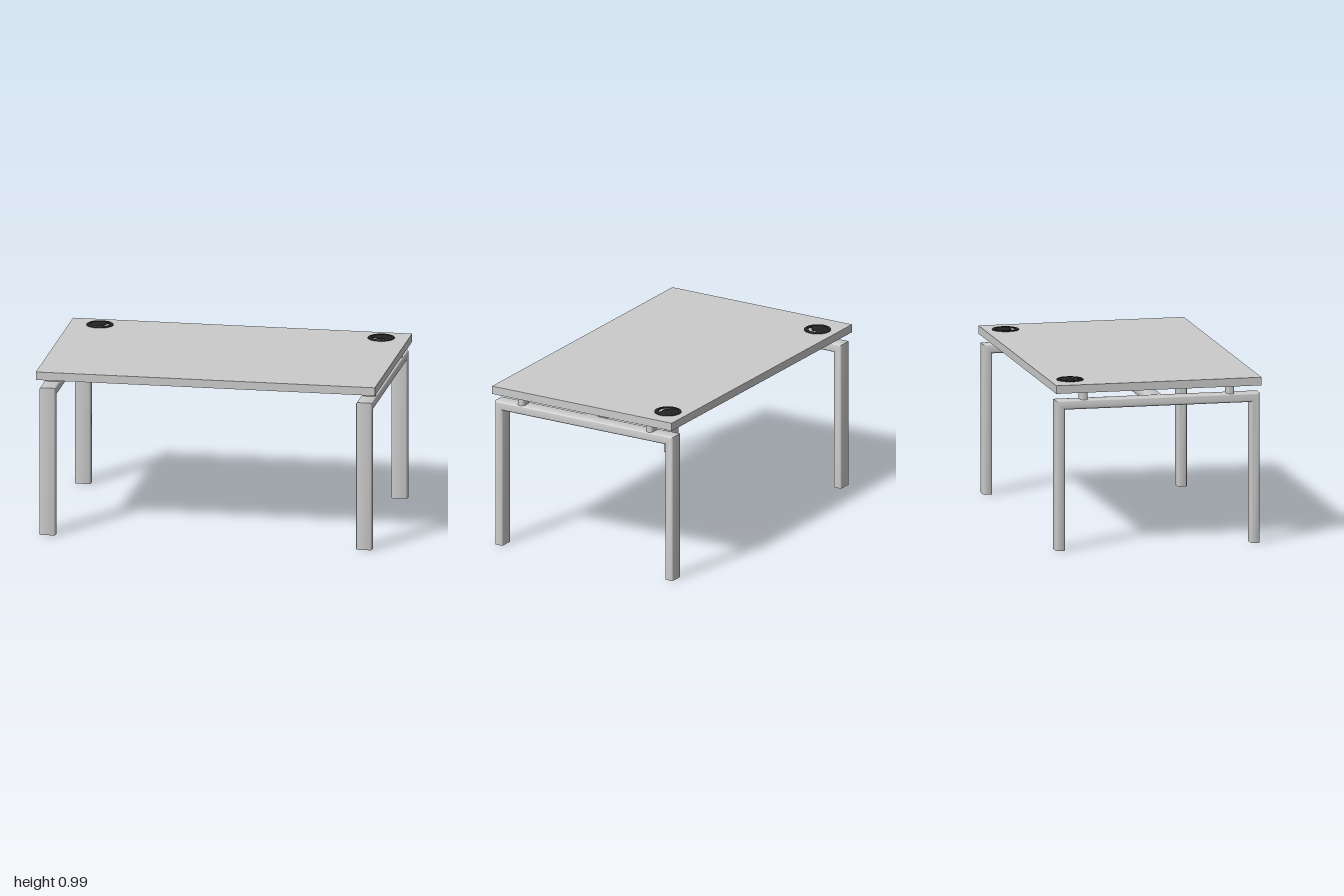
import * as THREE from 'three';
import { toCreasedNormals } from 'three/addons/utils/BufferGeometryUtils.js';

const grey = new THREE.MeshStandardMaterial({ color: 0xcccccc });
const black = new THREE.MeshStandardMaterial({ color: 0x222222 });

function add(parent, name, geometry, material, x = 0, y = 0, z = 0) {
  const mesh = new THREE.Mesh(geometry, material);
  mesh.name = name;
  mesh.position.set(x, y, z);
  parent.add(mesh);
  return mesh;
}

// Rounded rectangle outline, counter-clockwise, as [n, w] pairs
function roundedRect(halfN, halfW, r) {
  const corners = [[1, 1], [-1, 1], [-1, -1], [1, -1]];
  const out = [];
  corners.forEach(([sn, sw], c) => {
    for (let i = 0; i <= 4; i++) {
      const a = (c + i / 4) * Math.PI / 2;
      out.push([sn * (halfN - r) + r * Math.cos(a), sw * (halfW - r) + r * Math.sin(a)]);
    }
  });
  return out;
}

// Sweep a section along a path in the xy plane, with mitred corners
function mitredTube(path, section) {
  const pos = [], idx = [], n = section.length;
  const normals = path.slice(1).map((p, i) => {
    const d = p.clone().sub(path[i]).normalize();
    return new THREE.Vector2(-d.y, d.x);
  });
  path.forEach((p, k) => {
    const a = normals[Math.max(k - 1, 0)];
    const b = normals[Math.min(k, normals.length - 1)];
    const m = a.clone().add(b).divideScalar(1 + a.dot(b));
    for (const [sn, sw] of section) pos.push(p.x + m.x * sn, p.y + m.y * sn, sw);
  });
  const last = (path.length - 1) * n;
  for (let i = 0; i < n; i++) {
    const j = (i + 1) % n;
    for (let k = 0; k < last; k += n) {
      idx.push(k + i, k + j, k + n + j, k + i, k + n + j, k + n + i);
    }
    if (i > 0 && j > 0) idx.push(0, j, i, last, last + i, last + j);
  }
  const g = new THREE.BufferGeometry();
  g.setAttribute('position', new THREE.Float32BufferAttribute(pos, 3));
  g.setIndex(idx);
  return toCreasedNormals(g, 0.6);
}

// Cable grommet: flanged sleeve plus a cap with a curved cable slot
function makeGrommet(slotAngle) {
  const group = new THREE.Group();
  group.name = 'cableGrommet';
  const profile = [
    [0.06, -0.052], [0.066, -0.052], [0.066, 0], [0.079, 0],
    [0.079, 0.003], [0.074, 0.006], [0.06, 0.006], [0.06, -0.052],
  ].map(([x, y]) => new THREE.Vector2(x, y));
  add(group, 'grommetSleeve', toCreasedNormals(new THREE.LatheGeometry(profile, 40), 0.5), black);

  const disc = new THREE.Shape();
  disc.absarc(0, 0, 0.061, 0, Math.PI * 2, false);
  const slot = new THREE.Path();
  slot.absarc(0, 0, 0.054, slotAngle - 1, slotAngle + 1, false);
  slot.absarc(0, 0, 0.035, slotAngle + 1, slotAngle - 1, true);
  slot.closePath();
  disc.holes.push(slot);
  const cap = new THREE.ExtrudeGeometry(disc, { depth: 0.003, bevelEnabled: false, curveSegments: 24 });
  add(group, 'grommetCap', cap, black, 0, 0.001, 0).rotation.x = -Math.PI / 2;
  return group;
}

export function createModel() {
  const desk = new THREE.Group();
  desk.name = 'desk';

  // Desktop
  add(desk, 'desktop', new THREE.BoxGeometry(2, 0.048, 1.224), grey, 0, 0.956, 0);

  // Side frames: two legs and a top beam in one mitred tube
  const section = roundedRect(0.027, 0.047, 0.013);
  const framePath = [[-0.58, 0], [-0.58, 0.858], [0.58, 0.858], [0.58, 0]]
    .map(([x, y]) => new THREE.Vector2(x, y));
  const frame = mitredTube(framePath, section);

  // Stand-offs lifting the desktop above the frames
  const outline = roundedRect(0.022, 0.04, 0.02).map(([z, x]) => new THREE.Vector2(x, z));
  const standoff = toCreasedNormals(new THREE.ExtrudeGeometry(
    new THREE.Shape(outline), { depth: 0.056, bevelEnabled: false }), 0.6);
  standoff.rotateX(-Math.PI / 2);

  for (const side of [-1, 1]) {
    const name = side > 0 ? 'left' : 'right';
    add(desk, name + 'LegFrame', frame, grey, side * 0.934, 0, 0).rotation.y = Math.PI / 2;
    for (const end of [-1, 1]) {
      add(desk, name + (end > 0 ? 'Front' : 'Back') + 'Standoff', standoff, grey,
        side * 0.934, 0.88, end * 0.437);
    }
  }

  // Crossbar between the side frames
  const barPath = [new THREE.Vector2(-0.9, 0.858), new THREE.Vector2(0.9, 0.858)];
  add(desk, 'crossbar', mitredTube(barPath, roundedRect(0.0255, 0.047, 0.013)), grey);

  // Cable grommets in the back corners
  for (const [x, slotAngle] of [[-0.82, -0.6], [0.84, -1.9]]) {
    const grommet = makeGrommet(slotAngle);
    grommet.position.set(x, 0.98, -0.488);
    desk.add(grommet);
  }
  return desk;
}
